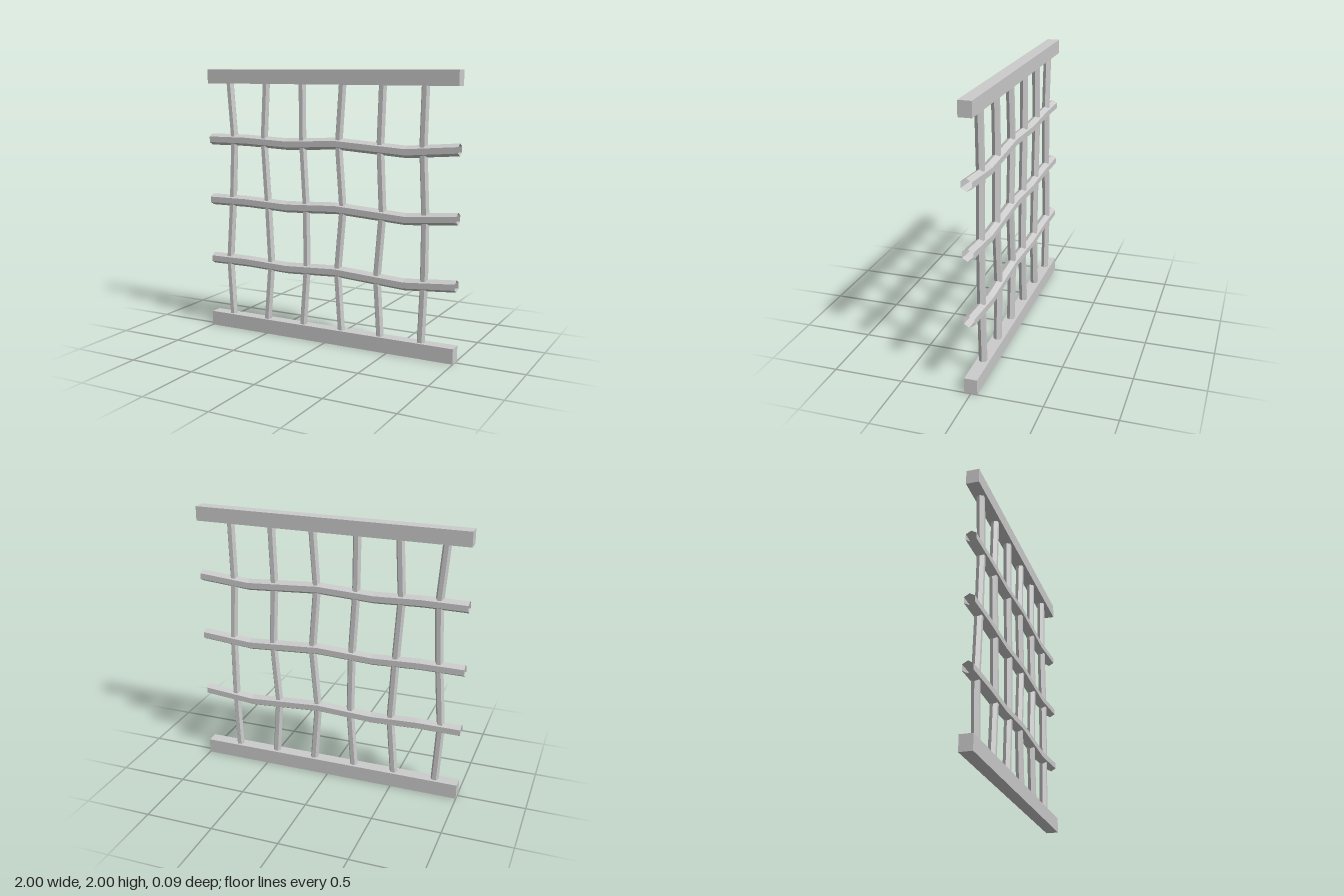
import * as THREE from 'three';

const material = new THREE.MeshStandardMaterial({ color: 0xcccccc, flatShading: true });
const openMaterial = new THREE.MeshStandardMaterial({ color: 0xcccccc, flatShading: true, side: THREE.DoubleSide });

// Open six-sided bar along y: one ring per [height, sideways offset], listed from the top down
function bentBar(radius, stations) {
  const geometry = new THREE.CylinderGeometry(radius, radius, 1, 6, stations.length - 1, true, Math.PI / 2);
  const pos = geometry.attributes.position;
  for (let i = 0; i < pos.count; i++) {
    const [along, offset] = stations[Math.floor(i / 7)];
    pos.setX(i, pos.getX(i) + offset);
    pos.setY(i, along);
  }
  geometry.computeVertexNormals();
  return geometry;
}

export function createModel() {
  const group = new THREE.Group();
  const add = (geometry, mat, name, y = 0) => {
    const mesh = new THREE.Mesh(geometry, mat);
    mesh.name = name;
    mesh.position.y = y;
    group.add(mesh);
  };

  // Solid rails at top and bottom
  add(new THREE.BoxGeometry(2, 0.105, 0.092), material, 'topRail', 1.9475);
  add(new THREE.BoxGeometry(2, 0.11, 0.092), material, 'bottomRail', 0.055);

  // Three wavy crossbars, all with the same bends
  const bends = [[1, 0.005], [0.62, -0.026], [0.08, 0.008], [-0.33, -0.012], [-0.68, 0.002], [-1, 0]];
  const crossbar = bentBar(0.043, bends.map(([x, dy]) => [x, -dy]));
  crossbar.rotateZ(-Math.PI / 2);
  [0.537, 1.003, 1.47].forEach((y, i) => add(crossbar, openMaterial, `crossbar${i + 1}`, y));

  // Six crooked uprights: x position at each level, top to bottom
  const levels = [1.91, 1.47, 1.003, 0.537, 0.1];
  const uprights = [
    [-0.828, -0.794, -0.816, -0.85, -0.826],
    [-0.506, -0.53, -0.5, -0.476, -0.513],
    [-0.203, -0.2, -0.173, -0.167, -0.2],
    [0.125, 0.094, 0.13, 0.088, 0.12],
    [0.435, 0.42, 0.442, 0.403, 0.432],
    [0.75, 0.74, 0.763, 0.762, 0.746],
  ];
  uprights.forEach((xs, i) =>
    add(bentBar(0.03, xs.map((x, k) => [levels[k], x])), openMaterial, `upright${i + 1}`));

  return group;
}
